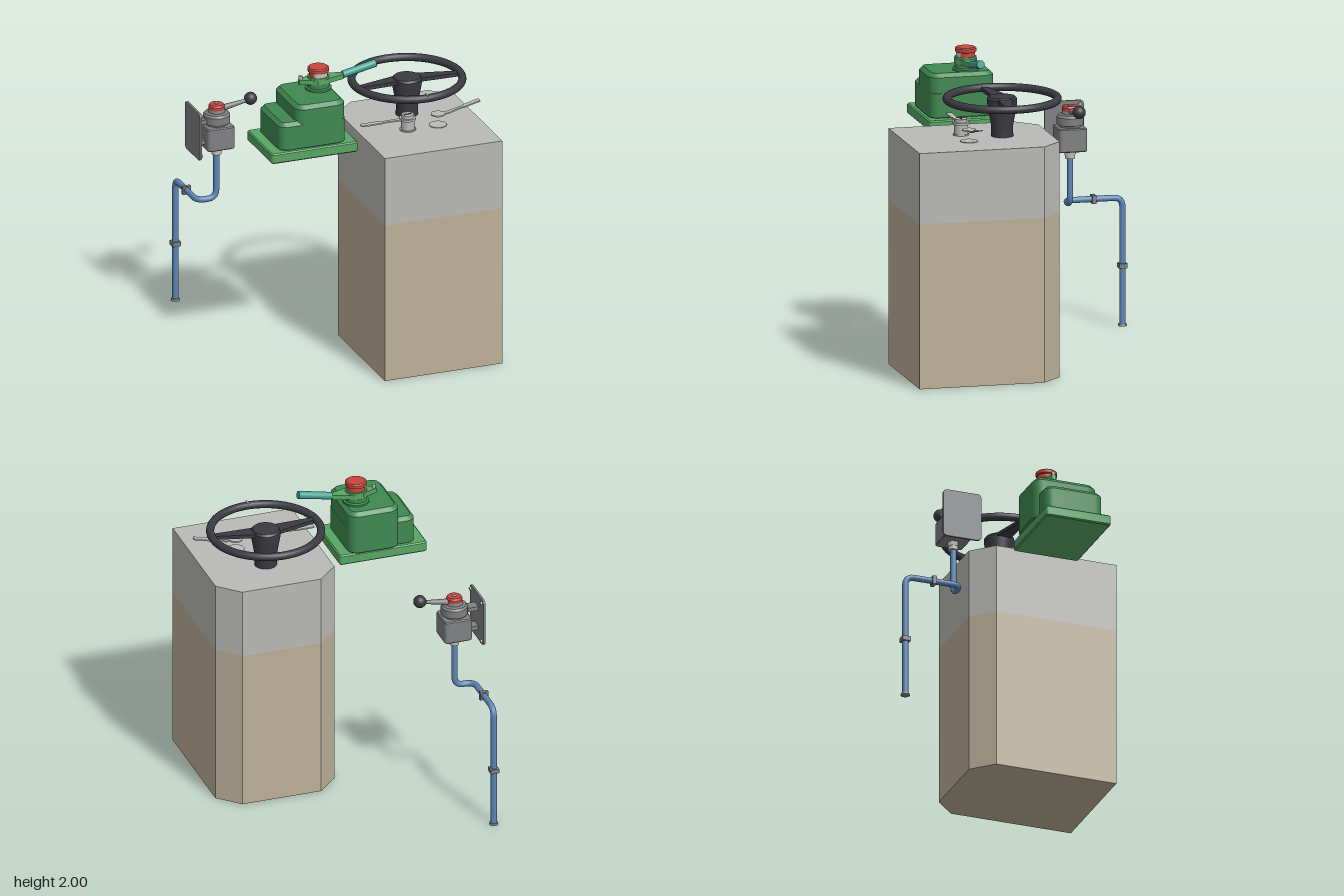
import * as THREE from 'three';
import { toCreasedNormals } from 'three/addons/utils/BufferGeometryUtils.js';

const mat = (name, color) => {
  const m = new THREE.MeshStandardMaterial({ color });
  m.name = name;
  return m;
};

export function createModel() {
  const M = {
    panel: mat('consoleGrey', 0xb9b9b7),
    beige: mat('consoleBeige', 0xbcb098),
    dark: mat('darkPlastic', 0x3b3a41),
    light: mat('paleGreen', 0x57a663),
    green: mat('castingGreen', 0x3f8951),
    teal: mat('handleTeal', 0x419f92),
    red: mat('capRed', 0xc8473f),
    blue: mat('pipeBlue', 0x5d86b6),
    grey: mat('metalGrey', 0x7f8082),
    pale: mat('paleMetal', 0xc2c2ba),
  };
  const root = new THREE.Group();
  root.name = 'driverControls';
  const group = (name, x = 0, y = 0, z = 0) => {
    const g = new THREE.Group();
    g.name = name;
    g.position.set(x, y, z);
    root.add(g);
    return g;
  };
  const add = (parent, name, geo, material, x = 0, y = 0, z = 0) => {
    const m = new THREE.Mesh(geo, material);
    m.name = name;
    m.position.set(x, y, z);
    parent.add(m);
    return m;
  };
  const box = (w, h, d) => new THREE.BoxGeometry(w, h, d);
  const cyl = (rTop, rBottom, h, n = 32) => new THREE.CylinderGeometry(rTop, rBottom, h, n);
  // Turned part: profile of [radius, height] from bottom to top
  const lathe = (pts) => toCreasedNormals(
    new THREE.LatheGeometry(pts.map((p) => new THREE.Vector2(...p)), 40), 0.5);
  // Flat outline of [x, z] points raised along y
  const prism = (pts, h) => new THREE.ExtrudeGeometry(
    new THREE.Shape(pts.map(([x, z]) => new THREE.Vector2(x, -z))),
    { depth: h, bevelEnabled: false }).rotateX(-Math.PI / 2);
  // Rounded rectangular slab standing on y = 0, chamfered by b at its top and bottom
  const slab = (w, d, h, r, b) => {
    const x = w / 2 - b, y = d / 2 - b, s = new THREE.Shape();
    s.moveTo(-x + r, -y);
    s.lineTo(x - r, -y).quadraticCurveTo(x, -y, x, -y + r);
    s.lineTo(x, y - r).quadraticCurveTo(x, y, x - r, y);
    s.lineTo(-x + r, y).quadraticCurveTo(-x, y, -x, y - r);
    s.lineTo(-x, -y + r).quadraticCurveTo(-x, -y, -x + r, -y);
    const g = new THREE.ExtrudeGeometry(s, {
      depth: h - 2 * b, bevelEnabled: b > 0, bevelThickness: b, bevelSize: b,
      bevelSegments: 1, curveSegments: 6 });
    return toCreasedNormals(g.translate(0, 0, b).rotateX(-Math.PI / 2), 0.5);
  };
  // Straight round bar between two points
  const bar = (parent, name, a, b, ra, rb, material) => {
    const A = new THREE.Vector3(...a), B = new THREE.Vector3(...b);
    const m = add(parent, name, cyl(rb, ra, A.distanceTo(B), 24), material);
    m.position.copy(A).add(B).multiplyScalar(0.5);
    m.quaternion.setFromUnitVectors(new THREE.Vector3(0, 1, 0), B.sub(A).normalize());
    return m;
  };

  // Console with clipped rear corners
  const console_ = group('console');
  const outline = [[-0.008, 0.887], [0.8, 0.887], [0.8, 0.062], [0.665, -0.073], [0.13, -0.073], [-0.008, 0.062]];
  add(console_, 'consoleBase', prism(outline, 1.08), M.beige);
  add(console_, 'consoleTop', prism(outline, 0.465), M.panel, 0, 1.08, 0);

  // Steering wheel and column
  const wheel = group('steeringWheel', 0.397, 0, 0.238);
  add(wheel, 'rim', new THREE.TorusGeometry(0.356, 0.026, 16, 72).rotateX(Math.PI / 2), M.dark, 0, 1.788, 0);
  add(wheel, 'column', lathe([[0, 1.545], [0.072, 1.545], [0.07, 1.61], [0.096, 1.755],
    [0.097, 1.79], [0.085, 1.803], [0, 1.808]]), M.dark);
  for (const s of [-1, 1]) {
    const pts = [[0.07, -0.05], [0.07, 0.048], [0.345, 0.055], [0.345, 0.018]].map(([x, z]) => [s * x, z]);
    add(wheel, 'spoke', prism(s > 0 ? pts : pts.reverse(), 0.025), M.dark, 0, 1.772, 0);
  }
  add(wheel, 'centreMark', box(0.012, 0.008, 0.036), M.pale, 0, 1.812, 0.356);

  // Lever blade that widens towards its tip, pointing along +x
  const blade = () => prism([[0, -0.016], [0, 0.016], [0.12, 0.011], [0.16, 0.019],
    [0.28, 0.019], [0.287, 0.012], [0.287, -0.012], [0.28, -0.019], [0.16, -0.019], [0.12, -0.011]], 0.009);

  // Key switch with its lever
  const key = group('keySwitch', 0.305, 1.545, 0.487);
  add(key, 'barrel', lathe([[0, 0], [0.052, 0], [0.052, 0.008], [0.044, 0.008], [0.044, 0.07],
    [0.054, 0.07], [0.054, 0.085], [0.04, 0.085], [0.04, 0.106], [0, 0.106]]), M.panel);
  add(key, 'keySlot', box(0.05, 0.004, 0.01), M.dark, 0, 0.107, 0);
  const keyLever = add(key, 'keyLever', blade(), M.panel, -0.035, 0.07, 0);
  keyLever.rotation.y = Math.PI;

  // Direction lever, kinked upwards
  const dir = group('directionLever', 0.513, 1.545, 0.487);
  add(dir, 'seat', cyl(0.057, 0.057, 0.005), M.panel, 0, 0.0025, 0);
  add(dir, 'pivot', cyl(0.045, 0.045, 0.009), M.panel, 0, 0.075, 0);
  add(dir, 'leverFoot', box(0.06, 0.009, 0.03), M.panel, 0.045, 0.075, 0);
  const tip = add(dir, 'leverBlade', blade(), M.panel, 0.065, 0.071, 0);
  tip.rotation.z = 0.24;
  tip.scale.x = 0.8;

  // Green controller housing
  const ctl = group('controllerHousing');
  add(ctl, 'basePlate', slab(0.595, 0.445, 0.07, 0.012, 0.008), M.light, -0.374, 1.49, 0.373);
  add(ctl, 'lowerHousing', slab(0.46, 0.395, 0.205, 0.04, 0.024), M.green, -0.374, 1.54, 0.373);
  add(ctl, 'upperHousing', slab(0.345, 0.43, 0.31, 0.05, 0.025), M.green, -0.317, 1.54, 0.359);
  add(ctl, 'headRing', lathe([[0, 1.85], [0.085, 1.85], [0.085, 1.862], [0.072, 1.868],
    [0.072, 1.895], [0, 1.895]]), M.green, -0.243, 0, 0.315);

  // Controller head: arm, cap, handle
  const head = group('controllerHead', -0.243, 0, 0.315);
  add(head, 'arm', prism([[-0.135, -0.014], [-0.135, 0.014], [-0.06, 0.045], [-0.03, 0.068], [0.03, 0.068],
    [0.06, 0.05], [0.165, 0.02], [0.165, -0.02], [0.06, -0.05], [0.03, -0.068], [-0.03, -0.068], [-0.06, -0.045]], 0.032),
  M.light, 0, 1.895, 0);
  add(head, 'armHub', cyl(0.07, 0.07, 0.044), M.light, 0, 1.917, 0);
  add(head, 'cap', lathe([[0, 1.935], [0.06, 1.935], [0.06, 1.968], [0.069, 1.972],
    [0.069, 1.993], [0.06, 2], [0, 2]]), M.red);
  add(head, 'capIndicator', new THREE.CylinderGeometry(0.062, 0.062, 0.03, 16, 1, true, -0.75, 1.5),
    M.pale, 0, 1.953, 0);
  add(head, 'stopPin', cyl(0.012, 0.012, 0.06, 16), M.pale, -0.122, 1.922, 0);
  bar(head, 'handle', [0.168, 1.918, 0], [0.393, 1.964, 0], 0.024, 0.026, M.teal);

  // Brake valve on a wall plate
  const valve = group('brakeValve', -0.633, 0, -0.477);
  const plate = add(valve, 'mountingPlate', slab(0.325, 0.262, 0.014, 0.03, 0), M.grey, -0.152, 1.327, 0);
  plate.rotation.z = Math.PI / 2;
  for (const y of [1.19, 1.465]) for (const z of [-0.105, 0.105]) {
    add(valve, 'plateBolt', cyl(0.012, 0.012, 0.014, 6).rotateZ(Math.PI / 2), M.pale, -0.146, y, z);
  }
  for (const y of [1.25, 1.39]) add(valve, 'bracketArm', box(0.1, 0.028, 0.07), M.grey, -0.11, y, 0);
  add(valve, 'valveBox', slab(0.187, 0.187, 0.155, 0.02, 0.006), M.grey, 0, 1.2, 0);
  add(valve, 'valveDome', lathe([[0, 1.35], [0.07, 1.35], [0.07, 1.365], [0.087, 1.37], [0.087, 1.42],
    [0.076, 1.435], [0.055, 1.44], [0.05, 1.46], [0, 1.46]]), M.grey);
  add(valve, 'valveCap', lathe([[0, 1.455], [0.05, 1.455], [0.052, 1.48], [0.045, 1.492], [0, 1.492]]), M.red);
  add(valve, 'capScrew', cyl(0.014, 0.014, 0.006, 6), M.pale, 0, 1.494, 0);
  bar(valve, 'valveLever', [0.03, 1.455, 0], [0.215, 1.485, 0], 0.022, 0.011, M.grey);
  add(valve, 'leverKnob', new THREE.SphereGeometry(0.042, 24, 16), M.dark, 0.234, 1.493, 0);
  add(valve, 'pipeNut', cyl(0.038, 0.038, 0.03, 6), M.pale, 0, 1.185, 0);
  add(valve, 'pipeCollar', cyl(0.032, 0.032, 0.03, 24), M.pale, 0, 1.16, 0);

  // Air pipe with rounded bends
  const pipe = group('airPipe');
  const corners = [[-0.635, 1.16, -0.477], [-0.635, 0.84, -0.477], [-0.767, 0.84, -0.477],
    [-0.767, 0.84, -0.858], [-0.767, 0, -0.858]].map((p) => new THREE.Vector3(...p));
  const path = new THREE.CurvePath();
  let from = corners[0];
  for (let i = 1; i < 4; i++) {
    const c = corners[i];
    const a = c.clone().add(corners[i - 1].clone().sub(c).setLength(0.062));
    const b = c.clone().add(corners[i + 1].clone().sub(c).setLength(0.062));
    path.add(new THREE.LineCurve3(from, a));
    path.add(new THREE.QuadraticBezierCurve3(a, c, b));
    from = b;
  }
  path.add(new THREE.LineCurve3(from, corners[4]));
  add(pipe, 'pipe', new THREE.TubeGeometry(path, 160, 0.02, 16), M.blue);
  add(pipe, 'pipeFoot', cyl(0.026, 0.03, 0.014, 24), M.grey, -0.767, 0.007, -0.858);
  add(pipe, 'lowerClamp', box(0.056, 0.03, 0.056), M.grey, -0.767, 0.395, -0.858);
  add(pipe, 'upperClamp', box(0.056, 0.056, 0.026), M.grey, -0.767, 0.84, -0.665);

  return root;
}
